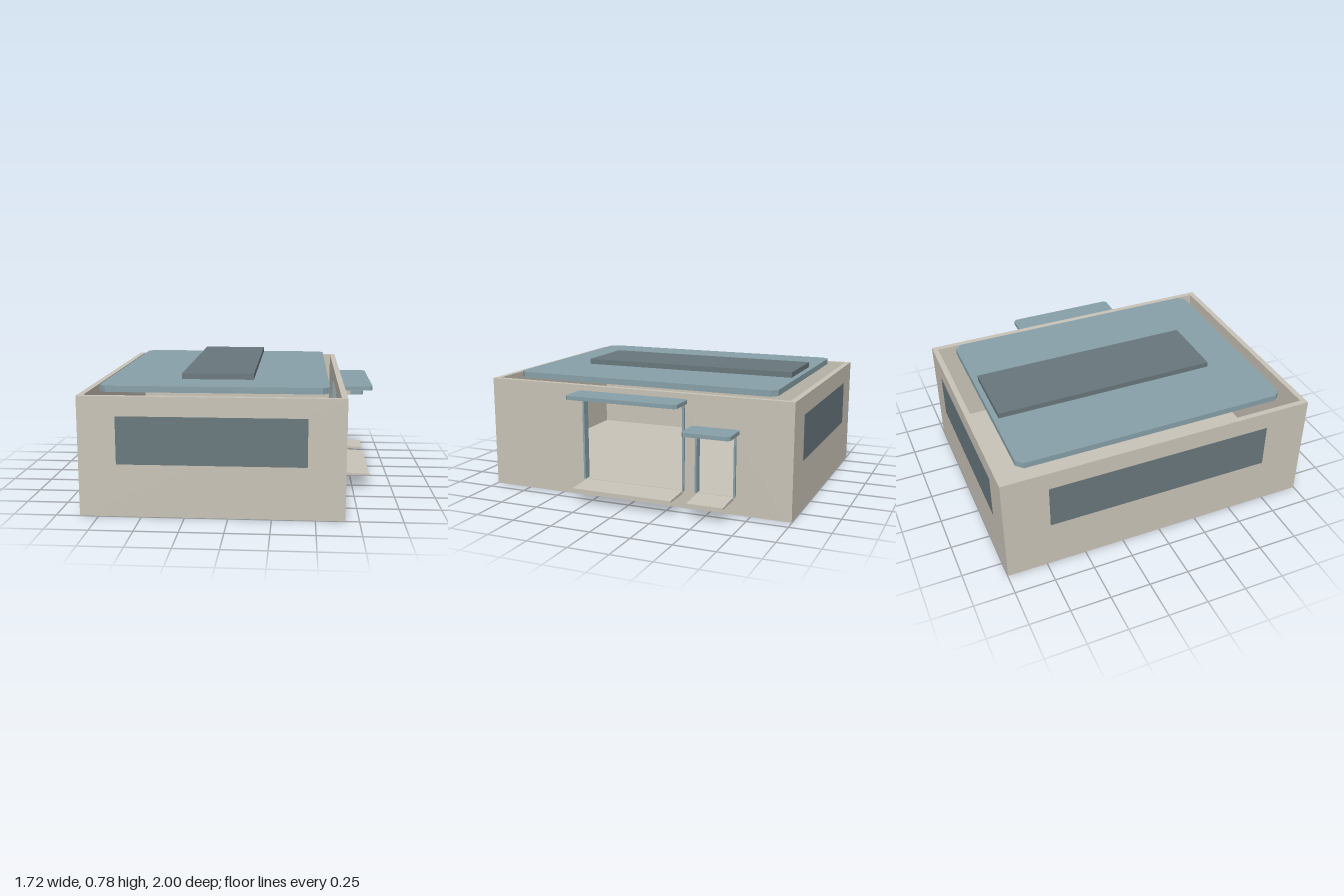
import * as THREE from 'three';

export function createModel() {
  const model = new THREE.Group();
  model.name = 'building';

  const material = (name, color) => {
    const m = new THREE.MeshStandardMaterial({ color });
    m.name = name;
    return m;
  };
  const wall = material('beige wall', 0xc8c3b7);
  const trim = material('blue grey trim', 0x87a0a8);
  const dark = material('dark slate', 0x68777c);

  const add = (name, geometry, mat, parent = model) => {
    const mesh = new THREE.Mesh(geometry, mat);
    mesh.name = name;
    parent.add(mesh);
    return mesh;
  };

  // Box given by its limits on each axis
  const box = (name, mat, [x0, x1], [y0, y1], [z0, z1], parent) => {
    const g = new THREE.BoxGeometry(x1 - x0, y1 - y0, z1 - z0);
    g.translate((x0 + x1) / 2, (y0 + y1) / 2, (z0 + z1) / 2);
    return add(name, g, mat, parent);
  };

  // Horizontal slab with chamfered corners
  const slab = (name, mat, [x0, x1], [y0, y1], [z0, z1], c, parent) => {
    const s = new THREE.Shape([
      [x0 + c, -z1], [x1 - c, -z1], [x1, -z1 + c], [x1, -z0 - c],
      [x1 - c, -z0], [x0 + c, -z0], [x0, -z0 - c], [x0, -z1 + c],
    ].map(([x, y]) => new THREE.Vector2(x, y)));
    const g = new THREE.ExtrudeGeometry(s, { depth: y1 - y0, bevelEnabled: false });
    g.rotateX(-Math.PI / 2).translate(0, y0, 0);
    return add(name, g, mat, parent);
  };

  const X0 = -0.86, X1 = 0.67, Z = 0.998, H = 0.705, T = 0.035, FLOOR = 0.11;
  const doors = [
    { name: 'wideDoor', z0: -0.335, z1: 0.342, top: 0.622 },
    { name: 'narrowDoor', z0: -0.658, z1: -0.405, top: 0.467 },
  ];

  // Floor and the three plain walls
  box('floor', wall, [X0 + T, X1 - T], [0, FLOOR], [-Z + T, Z - T]);
  box('frontWall', wall, [X0, X1], [0, H], [Z - T, Z]);
  box('backWall', wall, [X0, X1], [0, H], [-Z, -Z + T]);
  box('rightWall', wall, [X0, X0 + T], [0, H], [-Z + T, Z - T]);

  // Wall with the two doorways
  const rect = (Type, a, b, y0, y1) => new Type([
    new THREE.Vector2(a, y0), new THREE.Vector2(b, y0),
    new THREE.Vector2(b, y1), new THREE.Vector2(a, y1),
  ]);
  const side = rect(THREE.Shape, -Z + T, Z - T, 0, H);
  for (const d of doors) side.holes.push(rect(THREE.Path, -d.z1, -d.z0, FLOOR, d.top));
  const sideGeo = new THREE.ExtrudeGeometry(side, { depth: T, bevelEnabled: false });
  sideGeo.rotateY(Math.PI / 2).translate(X1 - T, 0, 0);
  add('doorWall', sideGeo, wall);

  // Door surrounds: jambs, lintel, canopy and sloping sill
  for (const d of doors) {
    const g = new THREE.Group();
    g.name = d.name;
    model.add(g);
    for (const z of [d.z0, d.z1 - 0.012]) {
      box('jamb', trim, [X1 - T, X1 + 0.015], [FLOOR, d.top], [z, z + 0.012], g);
    }
    box('lintel', wall, [X1, X1 + 0.05], [d.top, d.top + 0.026], [d.z0, d.z1], g);
    slab('canopy', trim, [X1 + 0.002, 0.857], [d.top + 0.026, d.top + 0.05],
      [d.z0 - 0.022, d.z1 + 0.022], 0.016, g);

    const profile = new THREE.Shape([
      new THREE.Vector2(X1, 0.088), new THREE.Vector2(0.857, 0.088),
      new THREE.Vector2(0.857, 0.099), new THREE.Vector2(X1, 0.108),
    ]);
    const sill = new THREE.ExtrudeGeometry(profile, {
      depth: d.z1 - d.z0 - 0.028, bevelEnabled: false,
    });
    sill.translate(0, 0, d.z0 + 0.014);
    add('sill', sill, wall, g);
  }

  // Raised roof plate and ridge panel
  slab('roofPlate', trim, [-0.762, 0.574], [0.705, 0.742], [-0.862, 0.862], 0.04);
  box('roofPanel', dark, [-0.312, 0.125], [0.742, 0.776], [-0.828, 0.585]);

  // Window plates on front, back and right
  const E = 0.002;
  box('frontWindow', dark, [-0.64, 0.452], [0.31, 0.59], [Z, Z + E]);
  box('backWindow', dark, [-0.64, 0.452], [0.31, 0.59], [-Z - E, -Z]);
  box('rightWindow', dark, [X0 - E, X0], [0.31, 0.59], [-0.715, 0.715]);

  return model;
}
